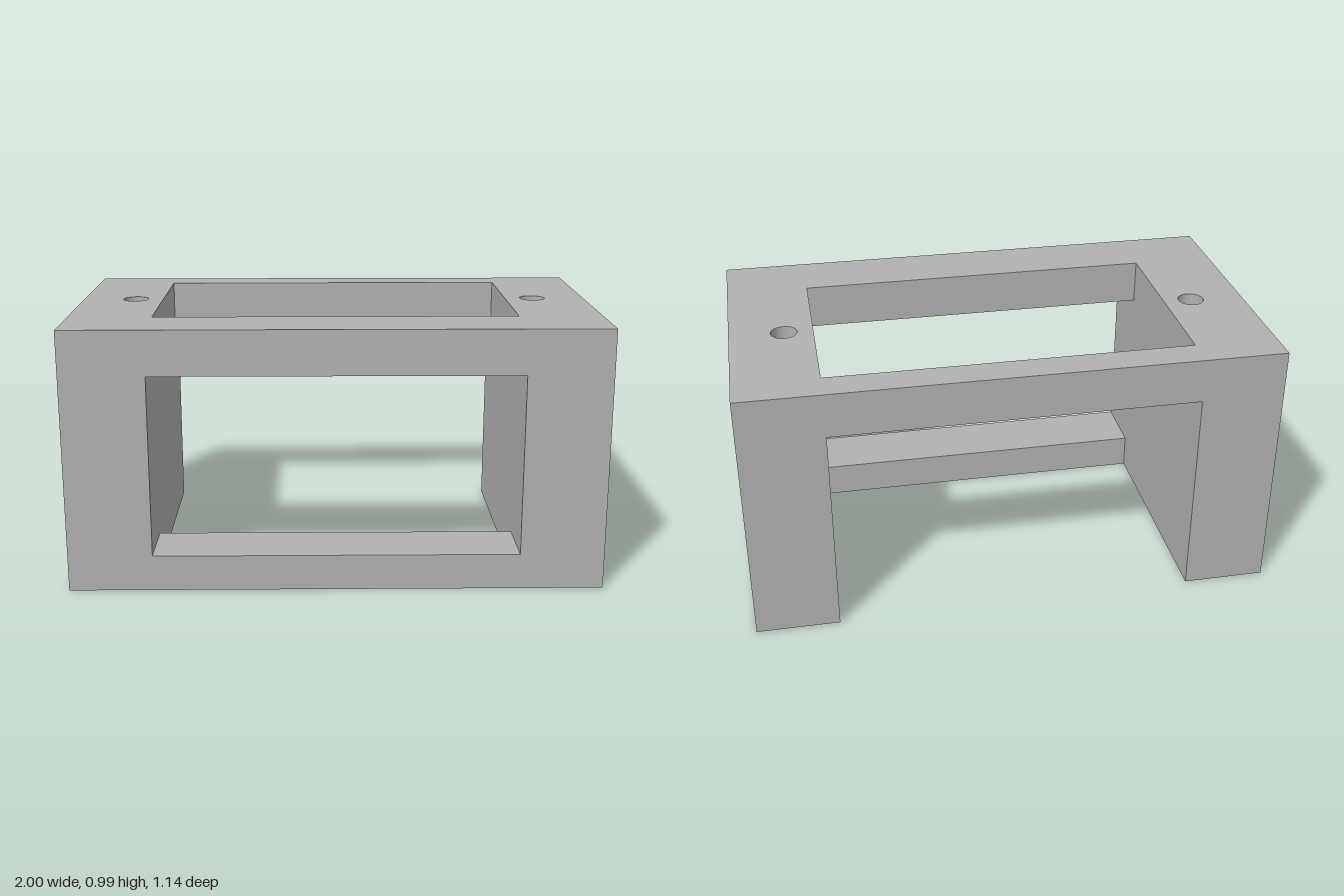
import * as THREE from 'three';

const H = 0.99, D = 0.57;            // height, half depth
const INNER = 0.685;                 // half width of the opening
const FRONT = 0.325, BACK = -0.445;  // depth limits of the top opening

export function createModel() {
  const group = new THREE.Group();
  group.name = 'mountingFrame';
  const grey = new THREE.MeshStandardMaterial({ color: 0xb2b2b2 });
  grey.name = 'grey';

  const add = (name, geometry) => {
    const mesh = new THREE.Mesh(geometry, grey);
    mesh.name = name;
    group.add(mesh);
    return mesh;
  };

  // Blind holes: a small one from the top, a larger one from below
  const holes = [
    { name: 'topHole', x: 0.795, z: -0.06, r: 0.05, y0: 0, y1: 0.65 },
    { name: 'bottomHole', x: 0.855, z: 0.2, r: 0.073, y0: 0.4, y1: H },
  ];

  for (const [side, s] of [['left', 1], ['right', -1]]) {
    // Side block, drawn in plan and extruded upwards
    const x0 = Math.min(s * INNER, s), x1 = Math.max(s * INNER, s);
    const plan = new THREE.Shape([
      new THREE.Vector2(x0, -D), new THREE.Vector2(x1, -D),
      new THREE.Vector2(x1, D), new THREE.Vector2(x0, D),
    ]);
    for (const h of holes) {
      plan.holes.push(new THREE.Path().absarc(s * h.x, -h.z, h.r, 0, Math.PI * 2, true));
    }
    const block = new THREE.ExtrudeGeometry(plan, { depth: H, bevelEnabled: false, curveSegments: 24 });
    add(side + 'Block', block.rotateX(-Math.PI / 2));

    // Solid fill that closes the far end of each hole
    for (const h of holes) {
      const fill = new THREE.CylinderGeometry(h.r, h.r, h.y1 - h.y0, 48);
      add(side + h.name[0].toUpperCase() + h.name.slice(1) + 'Floor', fill)
        .position.set(s * h.x, (h.y0 + h.y1) / 2, h.z);
    }
  }

  // Cross bars between the side blocks
  const bar = (name, y0, y1, z0, z1) =>
    add(name, new THREE.BoxGeometry(INNER * 2, y1 - y0, z1 - z0))
      .position.set(0, (y0 + y1) / 2, (z0 + z1) / 2);
  bar('topFrontBar', 0.82, H, FRONT, D);
  bar('topBackBar', 0.82, H, -D, BACK);
  bar('bottomFrontBar', 0, 0.135, FRONT, D);

  return group;
}
